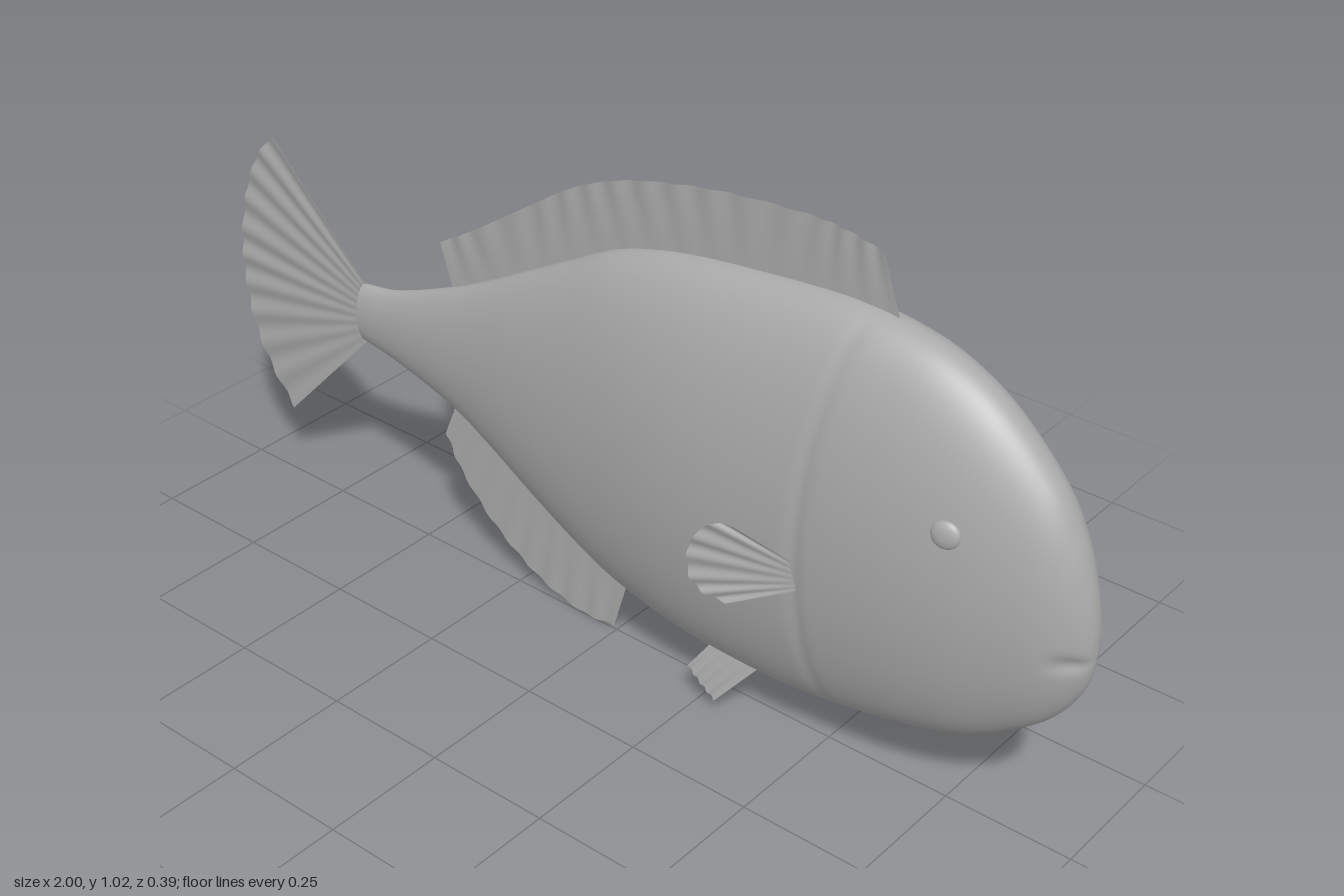
import * as THREE from 'three';
import { mergeVertices } from 'three/addons/utils/BufferGeometryUtils.js';

// Body stations: x, top, bottom, half width
const STATIONS = [
  [-0.645, 0.527, 0.402, 0.026], [-0.55, 0.545, 0.385, 0.031], [-0.4, 0.605, 0.343, 0.047],
  [-0.3, 0.655, 0.295, 0.062], [-0.2, 0.71, 0.24, 0.08], [-0.1, 0.765, 0.187, 0.097],
  [0, 0.818, 0.141, 0.112], [0.1, 0.85, 0.114, 0.126], [0.2, 0.869, 0.098, 0.136],
  [0.3, 0.881, 0.091, 0.141], [0.4, 0.891, 0.09, 0.141], [0.5, 0.897, 0.098, 0.138],
  [0.6, 0.89, 0.114, 0.134], [0.7, 0.865, 0.136, 0.125], [0.8, 0.81, 0.172, 0.108],
  [0.9, 0.715, 0.238, 0.081], [0.95, 0.635, 0.288, 0.058], [0.98, 0.555, 0.337, 0.036],
  [0.995, 0.487, 0.38, 0.018], [1, 0.43, 0.43, 0],
];

const curveOf = (points) => new THREE.CatmullRomCurve3(
  points.map(([x, y, z = 0]) => new THREE.Vector3(x, y, z)), false, 'catmullrom', 0.5);

// Bends a flat grid into a surface, rule(u, v, target)
function surface(rule, nu, nv) {
  const geo = new THREE.PlaneGeometry(1, 1, nu, nv);
  const { position, uv } = geo.attributes;
  const p = new THREE.Vector3();
  for (let i = 0; i < position.count; i++) {
    rule(uv.getX(i), uv.getY(i), p);
    position.setXYZ(i, p.x, p.y, p.z);
  }
  geo.deleteAttribute('uv');
  geo.deleteAttribute('normal');
  const merged = mergeVertices(geo, 1e-5);
  merged.computeVertexNormals();
  return merged;
}

function bodyGeometry() {
  const outline = curveOf(STATIONS);
  const widths = curveOf(STATIONS.map(([x, , , w]) => [x, w]));
  const bottoms = curveOf(STATIONS.map(([x, , b]) => [x, b]));
  return surface((u, v, p) => {
    outline.getPoint(u, p);
    const top = p.y;
    const bottom = bottoms.getPoint(u).y;
    const a = -2 * Math.PI * v;
    const y = (top + bottom) / 2 + (top - bottom) / 2 * Math.cos(a);
    let z = Math.max(0, widths.getPoint(u).y) * Math.sin(a);
    // Curved gill crease
    const gill = 0.497 + 0.25 * (y - 0.45) ** 2;
    z *= 1 - 0.035 * Math.exp(-(((p.x - gill) / 0.014) ** 2));
    // Mouth crease
    const lip = THREE.MathUtils.smoothstep(p.x, 0.93, 0.98);
    z *= 1 - 0.25 * lip * Math.exp(-(((y - 0.415) / 0.014) ** 2));
    p.set(p.x, y, z);
  }, (STATIONS.length - 1) * 12, 112);
}

// Thin fin spanned between a root curve and an outer edge, rippled by its rays
function finGeometry(root, edge, rays, ripple) {
  const a = curveOf(root);
  const b = curveOf(edge);
  return surface((u, v, p) => {
    a.getPoint(u, p).lerp(b.getPoint(u), v);
    p.z += ripple * v * Math.cos(2 * Math.PI * rays * u);
  }, rays * 8, 10);
}

export function createModel() {
  const fish = new THREE.Group();
  fish.name = 'fish';
  const skin = new THREE.MeshStandardMaterial({ color: 0xaaaaaa, side: THREE.DoubleSide });
  skin.name = 'grey';
  const add = (name, geo) => {
    const mesh = new THREE.Mesh(geo, skin);
    mesh.name = name;
    fish.add(mesh);
    return mesh;
  };

  add('body', bodyGeometry());

  // Flat end of the tail stalk
  const cap = add('tailStalkEnd', new THREE.CircleGeometry(1, 48));
  cap.scale.set(0.026, 0.0625, 1);
  cap.rotation.y = -Math.PI / 2;
  cap.position.set(-0.645, 0.4645, 0);

  // Fins on the centre line
  add('tailFin', finGeometry(
    [[-0.63, 0.515], [-0.63, 0.465], [-0.63, 0.415]],
    [[-0.88, 0.777], [-0.935, 0.71], [-0.975, 0.62], [-0.997, 0.52], [-0.999, 0.43],
      [-0.985, 0.335], [-0.945, 0.24], [-0.88, 0.154]], 10, 0.003));
  add('dorsalFin', finGeometry(
    [[-0.4, 0.59], [-0.2, 0.69], [0, 0.8], [0.2, 0.855], [0.4, 0.875], [0.592, 0.88]],
    [[-0.43, 0.69], [-0.34, 0.745], [-0.2, 0.84], [-0.1, 0.905], [0, 0.95], [0.12, 0.982],
      [0.25, 1.004], [0.4, 1.016], [0.48, 1.012], [0.553, 0.997]], 16, 0.002));
  add('analFin', finGeometry(
    [[-0.4, 0.36], [-0.3, 0.31], [-0.2, 0.26], [-0.1, 0.21], [0.035, 0.15]],
    [[-0.437, 0.268], [-0.4, 0.2], [-0.33, 0.122], [-0.25, 0.062], [-0.17, 0.022],
      [-0.08, 0.001], [-0.005, 0.008]], 9, 0.002));

  // Paired fins and eyes
  const pectoralRoot = [[0.505, 0.445, 0.128], [0.505, 0.42, 0.128], [0.505, 0.395, 0.128]];
  const pectoralEdge = [[0.4, 0.499, 0.168], [0.36, 0.494, 0.181], [0.33, 0.46, 0.19],
    [0.319, 0.42, 0.193], [0.325, 0.375, 0.191], [0.35, 0.35, 0.184], [0.39, 0.34, 0.172]];
  const pelvicRoot = [[0.27, 0.13, 0.056], [0.32, 0.13, 0.056], [0.375, 0.122, 0.056]];
  const pelvicEdge = [[0.232, 0.072, 0.073], [0.265, 0.05, 0.077], [0.3, 0.03, 0.08]];
  for (const [side, s] of [['left', 1], ['right', -1]]) {
    const flip = (points) => points.map(([x, y, z]) => [x, y, z * s]);
    add(side + 'PectoralFin', finGeometry(flip(pectoralRoot), flip(pectoralEdge), 6, 0.003 * s));
    add(side + 'PelvicFin', finGeometry(flip(pelvicRoot), flip(pelvicEdge), 4, 0.002 * s));
    const eye = add(side + 'Eye', new THREE.SphereGeometry(1, 28, 18));
    eye.scale.set(0.026, 0.025, 0.011);
    eye.position.set(0.768, 0.612, 0.106 * s);
    eye.rotation.set(-0.12 * s, 0.18 * s, 0);
  }
  return fish;
}
